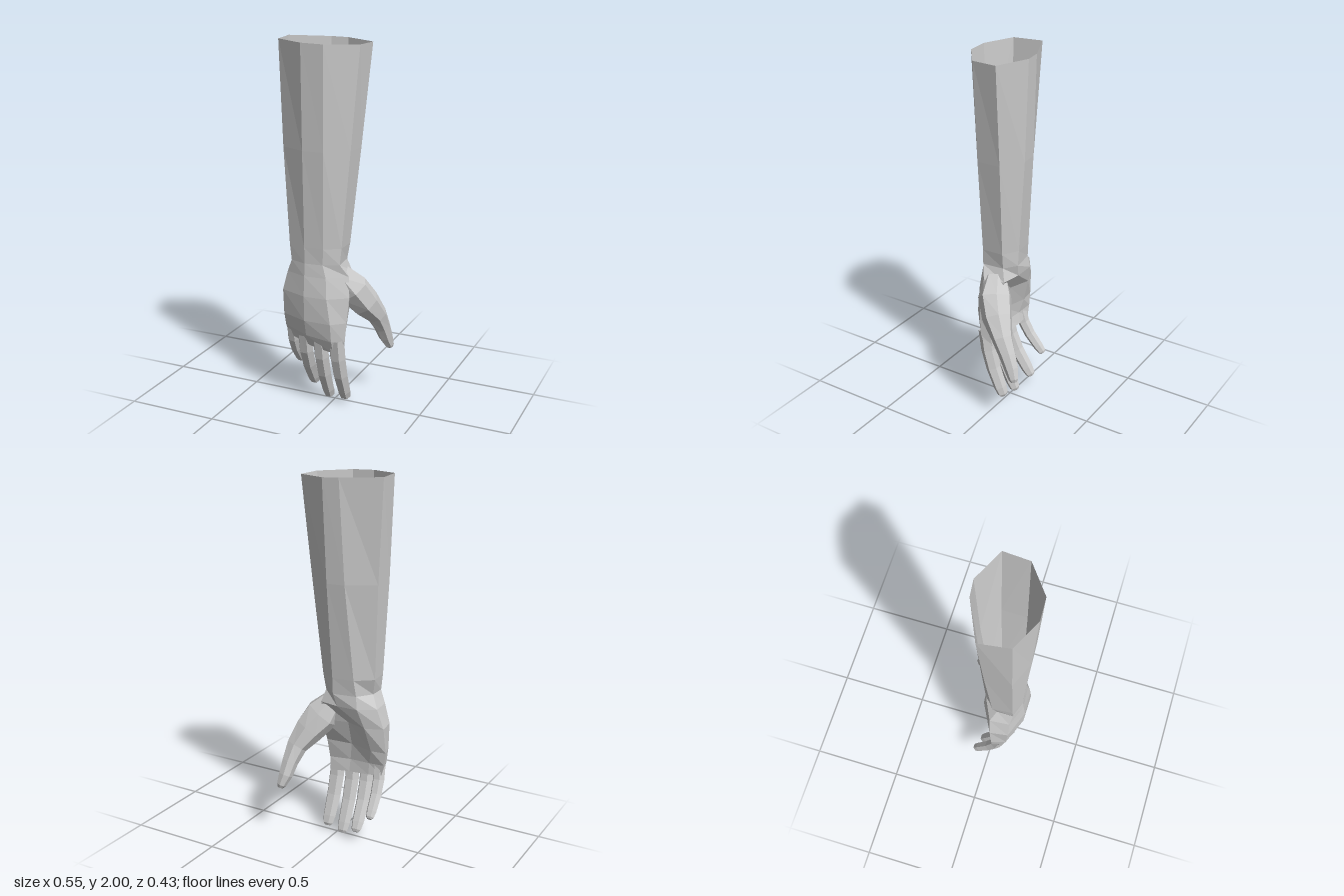
import * as THREE from 'three';

const skin = new THREE.MeshStandardMaterial({ color: 0xcccccc, flatShading: true, side: THREE.DoubleSide });

// Skins a list of equal-sized point loops; optionally closes the last one with a fan.
function loft(name, rings, capEnd) {
  const out = [];
  const tri = (...pts) => pts.forEach((p) => out.push(p.x, p.y, p.z));
  const n = rings[0].length;
  for (let i = 0; i < rings.length - 1; i++) {
    for (let j = 0; j < n; j++) {
      const k = (j + 1) % n;
      const [a, b, c, d] = [rings[i][j], rings[i][k], rings[i + 1][j], rings[i + 1][k]];
      tri(a, b, c);
      tri(b, d, c);
    }
  }
  if (capEnd) {
    const last = rings[rings.length - 1];
    const mid = new THREE.Vector3();
    last.forEach((p) => mid.addScaledVector(p, 1 / n));
    last.forEach((p, j) => tri(p, last[(j + 1) % n], mid));
  }
  const geo = new THREE.BufferGeometry();
  geo.setAttribute('position', new THREE.Float32BufferAttribute(out, 3));
  geo.computeVertexNormals();
  const mesh = new THREE.Mesh(geo, skin);
  mesh.name = name;
  return mesh;
}

// Horizontal loop of [x, z] corners; tilt raises it along x.
const level = (y, tilt, pts) => pts.map(([x, z]) => new THREE.Vector3(x, y + tilt * x, z));

// Tapered digit: each station is [x, y, z, half width, half depth].
function digit(name, stations, sides = 6) {
  const pos = stations.map(([x, y, z]) => new THREE.Vector3(x, y, z));
  const rings = stations.map(([, , , w, d], i) => {
    const t = pos[Math.min(i + 1, pos.length - 1)].clone().sub(pos[Math.max(i - 1, 0)]).normalize();
    const u = new THREE.Vector3(1, 0, 0).addScaledVector(t, -t.x).normalize();
    const v = t.clone().cross(u);
    return Array.from({ length: sides }, (_, j) => {
      const a = (j / sides) * Math.PI * 2;
      return pos[i].clone().addScaledVector(u, w * Math.cos(a)).addScaledVector(v, d * Math.sin(a));
    });
  });
  return loft(name, rings, true);
}

export function createModel() {
  const group = new THREE.Group();
  group.name = 'forearmAndHand';

  // Hollow forearm, open at the top
  const wrist = level(0.84, 0, [[-0.19, 0.05], [-0.13, -0.03], [0, -0.05], [0.07, 0], [0.08, 0.12], [0, 0.16], [-0.1, 0.17], [-0.19, 0.14]]);
  group.add(loft('forearm', [
    level(1.992, -0.03, [[-0.272, -0.02], [-0.07, -0.11], [0.02, -0.12], [0.19, -0.04], [0.18, 0.1], [0.03, 0.212], [-0.09, 0.217], [-0.25, 0.14]]),
    level(1.45, 0, [[-0.238, 0.0], [-0.09, -0.085], [0.01, -0.095], [0.137, -0.025], [0.135, 0.11], [0.02, 0.192], [-0.095, 0.197], [-0.23, 0.14]]),
    level(0.93, 0, [[-0.21, 0.03], [-0.12, -0.04], [0, -0.055], [0.085, -0.005], [0.088, 0.115], [0.005, 0.165], [-0.1, 0.172], [-0.2, 0.14]]),
    wrist,
  ], false));

  // Palm, cupped at the back between the heel and the thumb mound
  group.add(loft('palm', [
    wrist,
    level(0.77, 0, [[-0.23, 0.02], [-0.14, -0.04], [-0.02, -0.04], [0.09, -0.02], [0.12, 0.09], [0.02, 0.165], [-0.1, 0.175], [-0.22, 0.13]]),
    level(0.66, 0, [[-0.265, 0.03], [-0.17, -0.01], [-0.05, 0.03], [0.1, 0.0], [0.13, 0.11], [0.03, 0.18], [-0.1, 0.185], [-0.25, 0.13]]),
    level(0.52, 0, [[-0.275, 0.04], [-0.19, 0.03], [-0.05, 0.07], [0.1, 0.06], [0.12, 0.12], [0.05, 0.18], [-0.1, 0.18], [-0.25, 0.12]]),
    level(0.42, -0.1, [[-0.265, 0.04], [-0.17, 0.05], [-0.04, 0.075], [0.09, 0.075], [0.11, 0.12], [0.05, 0.165], [-0.1, 0.16], [-0.25, 0.1]]),
    level(0.35, -0.14, [[-0.25, 0.04], [-0.17, 0.04], [-0.04, 0.06], [0.08, 0.065], [0.1, 0.1], [0.05, 0.14], [-0.08, 0.135], [-0.24, 0.08]]),
  ], true));

  // Fingers curling backwards: root, tip and the half width of each
  const fingers = [
    ['indexFinger', [0.06, 0.42, 0.118], [0.066, 0.025, 0.0], 0.046],
    ['middleFinger', [-0.035, 0.42, 0.118], [-0.037, 0.012, -0.015], 0.044],
    ['ringFinger', [-0.13, 0.42, 0.108], [-0.145, 0.062, -0.055], 0.043],
    ['littleFinger', [-0.222, 0.43, 0.075], [-0.24, 0.172, -0.073], 0.035],
  ];
  for (const [name, root, tip, w] of fingers) {
    // along: share of the drop; back: share of the backward curl; girth
    const steps = [[0, 0, 1], [0.3, 0.14, 0.98], [0.58, 0.4, 0.92], [0.87, 0.8, 0.82], [0.97, 0.95, 0.66], [1, 1, 0.4]];
    group.add(digit(name, steps.map(([along, back, girth]) => [
      THREE.MathUtils.lerp(root[0], tip[0], along),
      THREE.MathUtils.lerp(root[1], tip[1], along),
      THREE.MathUtils.lerp(root[2], tip[2], back),
      w * girth, w * girth * 0.95,
    ])));
  }

  // Thumb with its broad base
  group.add(digit('thumb', [
    [0.05, 0.77, 0.06, 0.06, 0.06],
    [0.11, 0.68, 0.025, 0.1, 0.085],
    [0.165, 0.595, -0.025, 0.085, 0.08],
    [0.21, 0.51, -0.085, 0.06, 0.055],
    [0.226, 0.43, -0.128, 0.046, 0.046],
    [0.236, 0.36, -0.16, 0.039, 0.04],
    [0.25, 0.305, -0.183, 0.026, 0.028],
    [0.254, 0.29, -0.188, 0.015, 0.016],
  ], 7));

  return group;
}
